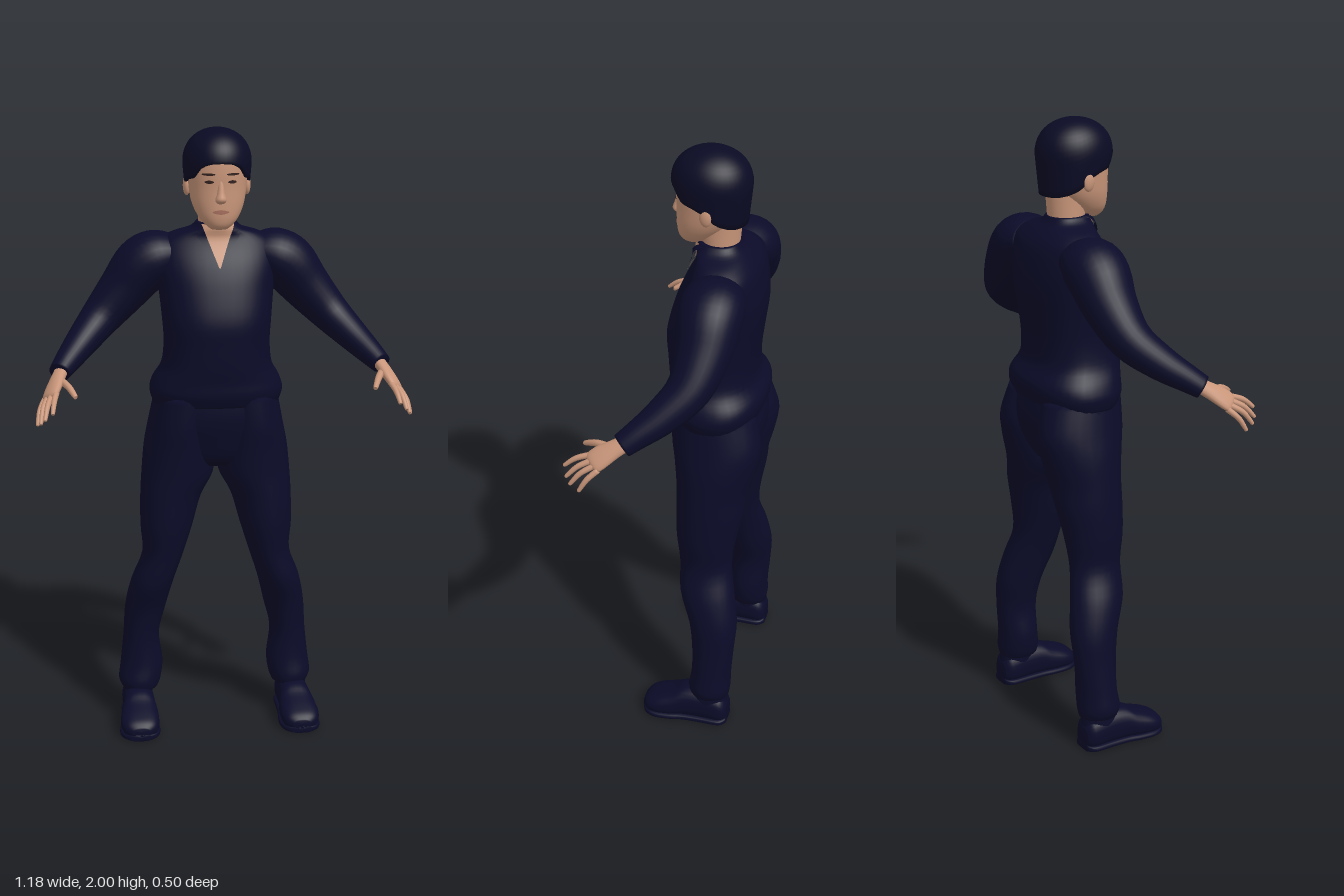
import * as THREE from 'three';

const mat = (name, color, side = THREE.FrontSide) => {
  const m = new THREE.MeshStandardMaterial({ color, side });
  m.name = name;
  return m;
};

// Closed smooth skin over a list of rings (counter-clockwise about the path)
function skin(rings) {
  const n = rings[0].length, pos = [], idx = [];
  rings.forEach(r => r.forEach(p => pos.push(p.x, p.y, p.z)));
  for (let i = 0; i < rings.length - 1; i++) {
    for (let j = 0; j < n; j++) {
      const k = (j + 1) % n;
      const a = i * n + j, b = i * n + k, c = b + n, d = a + n;
      idx.push(a, b, c, a, c, d);
    }
  }
  const g = new THREE.BufferGeometry();
  g.setAttribute('position', new THREE.Float32BufferAttribute(pos, 3));
  g.setIndex(idx);
  g.computeVertexNormals();
  return g;
}

// Catmull-Rom refinement of section rows
function refine(rows, steps) {
  const out = [], at = i => rows[Math.max(0, Math.min(rows.length - 1, i))];
  for (let i = 0; i < rows.length - 1; i++) {
    for (let s = 0; s < steps; s++) {
      const t = s / steps;
      out.push(rows[i].map((b, k) => {
        const a = at(i - 1)[k], c = at(i + 1)[k], d = at(i + 2)[k];
        return b + 0.5 * t * (c - a + t * (2 * a - 5 * b + 4 * c - d + t * (3 * (b - c) + d - a)));
      }));
    }
  }
  out.push(rows[rows.length - 1]);
  return out;
}

// Loft of rows [x, y, z, ru, rv]; rv lies along ref, axis fixes the ring plane
function loft(rows, { axis, ref = [0, 0, 1], seg = 28, k = 1, steps = 4 } = {}) {
  const d = refine(rows, steps), P = d.map(r => new THREE.Vector3(r[0], r[1], r[2]));
  const R = new THREE.Vector3(...ref);
  const pw = c => Math.sign(c) * Math.abs(c) ** k;
  const rings = d.map((r, i) => {
    const t = axis ? new THREE.Vector3(...axis)
      : P[Math.min(i + 1, P.length - 1)].clone().sub(P[Math.max(i - 1, 0)]).normalize();
    const v = R.clone().addScaledVector(t, -R.dot(t)).normalize();
    const u = v.clone().cross(t);
    return Array.from({ length: seg }, (_, j) => {
      const a = j / seg * Math.PI * 2;
      return P[i].clone().addScaledVector(u, r[3] * pw(Math.cos(a))).addScaledVector(v, r[4] * pw(Math.sin(a)));
    });
  });
  const end = p => Array.from({ length: seg }, () => p.clone());
  return skin([end(P[0]), ...rings, end(P[P.length - 1])]);
}

// Front depth of an upright loft at (x, y)
function frontZ(rows, x, y, k) {
  const d = refine(rows, 4);
  let i = 0;
  while (i < d.length - 2 && d[i + 1][1] < y) i++;
  const t = (y - d[i][1]) / (d[i + 1][1] - d[i][1]);
  const [, , cz, rx, rz] = d[i].map((a, n) => a + (d[i + 1][n] - a) * t);
  return cz + rz * Math.max(0, 1 - Math.abs(x / rx) ** (2 / k)) ** (k / 2);
}

// Thin plate lying on the front of a loft, between xa(t) and xb(t) from y0 to y1
function patch(rows, k, y0, y1, xa, xb, lift) {
  const g = new THREE.PlaneGeometry(1, 1, 10, 12), p = g.attributes.position;
  for (let i = 0; i < p.count; i++) {
    const s = p.getX(i) + 0.5, t = p.getY(i) + 0.5;
    const x = xa(t) + (xb(t) - xa(t)) * s, y = y0 + (y1 - y0) * t;
    p.setXYZ(i, x, y, frontZ(rows, x, y, k) + lift);
  }
  g.computeVertexNormals();
  return g;
}

export function createModel() {
  const model = new THREE.Group();
  model.name = 'standingMan';
  const cloth = mat('navy cloth', 0x0b0b29, THREE.DoubleSide);
  const hairMat = mat('dark hair', 0x0a0a24, THREE.DoubleSide);
  const skinMat = mat('skin', 0xc9967a, THREE.DoubleSide);
  const dark = mat('brow and eye', 0x33221f, THREE.DoubleSide);
  const lip = mat('lips', 0xa8705f, THREE.DoubleSide);
  const add = (name, geo, m) => {
    const mesh = new THREE.Mesh(geo, m);
    mesh.name = name;
    model.add(mesh);
    return mesh;
  };
  const up = { axis: [0, 1, 0] };
  const flip = (rows, s) => rows.map(([x, ...r]) => [x * s, ...r]);

  // Shirt with loose hem
  const torso = [
    [0, 1.12, -0.085, 0.205, 0.132], [0, 1.16, -0.085, 0.216, 0.147], [0, 1.2, -0.083, 0.205, 0.148],
    [0, 1.25, -0.066, 0.178, 0.138], [0, 1.32, -0.062, 0.17, 0.14], [0, 1.4, -0.065, 0.175, 0.146],
    [0, 1.5, -0.083, 0.185, 0.139], [0, 1.57, -0.093, 0.195, 0.123], [0, 1.63, -0.1, 0.19, 0.1],
    [0, 1.665, -0.092, 0.145, 0.08], [0, 1.685, -0.077, 0.085, 0.071], [0, 1.705, -0.073, 0.063, 0.063]];
  add('shirt', loft(torso, { ...up, seg: 40, k: 0.85 }), cloth);

  // Open neckline and collar
  const vEdge = t => 0.002 + 0.05 * t;
  add('neckOpening', patch(torso, 0.85, 1.57, 1.702, t => -vEdge(t), vEdge, 0.004), skinMat);
  for (const s of [1, -1]) {
    add('collar', patch(torso, 0.85, 1.62, 1.705,
      t => s > 0 ? 0.022 + 0.033 * t : -0.03 - 0.04 * Math.min(1, t * 2) + 0.007 * t,
      t => s > 0 ? 0.03 + 0.04 * Math.min(1, t * 2) - 0.007 * t : -0.022 - 0.033 * t, 0.012), cloth);
  }

  // Trouser seat
  add('trouserSeat', loft([
    [0, 0.91, -0.09, 0.13, 0.07], [0, 0.94, -0.09, 0.19, 0.095], [0, 1.0, -0.095, 0.216, 0.12],
    [0, 1.08, -0.092, 0.211, 0.137], [0, 1.17, -0.085, 0.2, 0.13]], { ...up, k: 0.9 }), cloth);

  const legRows = [
    [0.257, 0.11, -0.122, 0.06, 0.066], [0.257, 0.14, -0.122, 0.071, 0.07], [0.25, 0.2, -0.126, 0.071, 0.066],
    [0.25, 0.3, -0.13, 0.06, 0.07], [0.235, 0.4, -0.125, 0.068, 0.08], [0.212, 0.5, -0.1, 0.07, 0.09],
    [0.178, 0.6, -0.085, 0.068, 0.086], [0.165, 0.7, -0.083, 0.086, 0.098], [0.15, 0.8, -0.09, 0.1, 0.11],
    [0.127, 0.88, -0.093, 0.118, 0.118], [0.12, 0.97, -0.1, 0.116, 0.133], [0.115, 1.05, -0.1, 0.105, 0.143],
    [0.1, 1.15, -0.085, 0.1, 0.13]];
  const armRows = [
    [0.13, 1.6, -0.105, 0.06, 0.08], [0.185, 1.59, -0.105, 0.085, 0.098], [0.235, 1.558, -0.106, 0.092, 0.098],
    [0.295, 1.485, -0.105, 0.08, 0.085], [0.37, 1.4, -0.083, 0.064, 0.068], [0.435, 1.335, -0.02, 0.051, 0.055],
    [0.485, 1.287, 0.045, 0.04, 0.043], [0.51, 1.262, 0.08, 0.033, 0.038]];
  const palmRows = [
    [0.497, 1.275, 0.06, 0.02, 0.025], [0.515, 1.25, 0.1, 0.019, 0.029], [0.53, 1.227, 0.135, 0.017, 0.036],
    [0.541, 1.209, 0.158, 0.014, 0.036], [0.545, 1.202, 0.166, 0.008, 0.028]];
  const shoeRows = [
    [0.265, 0.045, -0.188, 0.03, 0.03], [0.265, 0.055, -0.165, 0.05, 0.053], [0.265, 0.062, -0.1, 0.052, 0.06],
    [0.266, 0.06, -0.04, 0.055, 0.058], [0.268, 0.05, 0, 0.062, 0.048], [0.27, 0.041, 0.05, 0.064, 0.037],
    [0.27, 0.034, 0.083, 0.052, 0.028], [0.27, 0.03, 0.1, 0.028, 0.014]];
  const soleRows = shoeRows.map(([x, , z, w]) => [x, 0.011, z, w + 0.003, 0.011]);
  // Knuckle, bend and tip of each finger, thumb last
  const fingers = [
    [[0.522, 1.222, 0.165], [0.531, 1.205, 0.215], [0.537, 1.177, 0.25]],
    [[0.536, 1.213, 0.16], [0.551, 1.19, 0.205], [0.56, 1.155, 0.238]],
    [[0.549, 1.203, 0.152], [0.565, 1.178, 0.192], [0.573, 1.14, 0.222]],
    [[0.558, 1.194, 0.14], [0.575, 1.165, 0.17], [0.583, 1.128, 0.192]],
    [[0.508, 1.245, 0.11], [0.485, 1.237, 0.165], [0.467, 1.217, 0.208]]];

  for (const s of [1, -1]) {
    const side = s > 0 ? 'left' : 'right';
    add(side + 'TrouserLeg', loft(flip(legRows, s), up), cloth);
    add(side + 'Sleeve', loft(flip(armRows, s)), cloth);
    add(side + 'Shoe', loft(flip(shoeRows, s), { axis: [0, 0, 1], ref: [0, 1, 0], k: 0.8 }), cloth);
    add(side + 'Sole', loft(flip(soleRows, s), { axis: [0, 0, 1], ref: [0, 1, 0], k: 0.5 }), cloth);
    add(side + 'BootShaft', loft(flip([[0.265, 0.06, -0.12, 0.05, 0.066], [0.262, 0.17, -0.122, 0.05, 0.06]], s), up), cloth);
    add(side + 'Palm', loft(flip(palmRows, s), { ref: [0.038 * s, -0.03, -0.035], seg: 16 }), skinMat);
    fingers.forEach(([a, b, c], i) => {
      const r = i === 4 ? 0.012 : 0.0095;
      const tip = c.map((v, n) => v + (c[n] - b[n]) * 0.08);
      const rows = [[...a, r, r], [...b, r * 0.9, r * 0.9], [...c, r * 0.65, r * 0.65], [...tip, r * 0.3, r * 0.3]];
      add(side + (i === 4 ? 'Thumb' : 'Finger'), loft(flip(rows, s), { ref: [s, 0, 0], seg: 10 }), skinMat);
    });
    const ear = add(side + 'Ear', new THREE.SphereGeometry(1, 14, 10), skinMat);
    ear.scale.set(0.012, 0.032, 0.02);
    ear.position.set(0.095 * s, 1.82, -0.055);
  }

  // Neck and head
  add('neck', loft([
    [0, 1.62, -0.075, 0.055, 0.055], [0, 1.68, -0.077, 0.057, 0.057],
    [0, 1.74, -0.075, 0.058, 0.064], [0, 1.8, -0.075, 0.06, 0.07]], up), skinMat);
  const head = [
    [0, 1.692, 0.008, 0.026, 0.026], [0, 1.705, 0.003, 0.043, 0.045], [0, 1.73, -0.01, 0.064, 0.065],
    [0, 1.77, -0.03, 0.082, 0.087], [0, 1.82, -0.045, 0.091, 0.102], [0, 1.87, -0.049, 0.095, 0.108],
    [0, 1.92, -0.05, 0.092, 0.104], [0, 1.96, -0.05, 0.065, 0.075]];
  add('head', loft(head, { ...up, seg: 36, k: 0.92 }), skinMat);

  // Nose, eyes, brows and mouth
  add('nose', loft([
    [0, 1.775, 0.05, 0.012, 0.008], [0, 1.787, 0.054, 0.018, 0.019], [0, 1.81, 0.053, 0.012, 0.014],
    [0, 1.85, 0.049, 0.008, 0.008]], { ...up, seg: 14 }), skinMat);
  const oval = (cx, w, c) => [t => cx - w * Math.sin(Math.PI * t) ** c, t => cx + w * Math.sin(Math.PI * t) ** c];
  for (const s of [1, -1]) {
    add('eye', patch(head, 0.92, 1.837, 1.848, ...oval(0.036 * s, 0.014, 0.7), 0.002), dark);
    add('eyebrow', patch(head, 0.92, 1.862, 1.87, ...oval(0.038 * s, 0.021, 0.5), 0.002), dark);
  }
  add('mouth', patch(head, 0.92, 1.742, 1.757, ...oval(0, 0.026, 0.8), 0.002), lip);

  // Hair cap: fringe, sideburns and longer back
  const edge = [1.9, 1.898, 1.885, 1.85, 1.845, 1.83, 1.795, 1.78, 1.772, 1.77, 1.77];
  const rings = [];
  for (let i = 0; i <= 18; i++) {
    rings.push(Array.from({ length: 48 }, (_, j) => {
      const a = j / 48 * Math.PI * 2;
      const f = Math.min(a, 2 * Math.PI - a) / Math.PI * 10, n = Math.min(9, Math.floor(f));
      const low = edge[n] + (edge[n + 1] - edge[n]) * (f - n);
      const y = low + (2 - low) * Math.sin(Math.max(0, i - 1) / 17 * Math.PI / 2);
      let r = y > 1.89 ? Math.sqrt(Math.max(0, 1 - ((y - 1.89) / 0.11) ** 2.3)) : 1 - 0.8 * (1.89 - y);
      if (i === 0) r *= 0.84;
      return new THREE.Vector3(0.108 * r * Math.sin(a), y, -0.048 + 0.123 * r * Math.cos(a));
    }));
  }
  add('hair', skin(rings), hairMat);

  return model;
}
